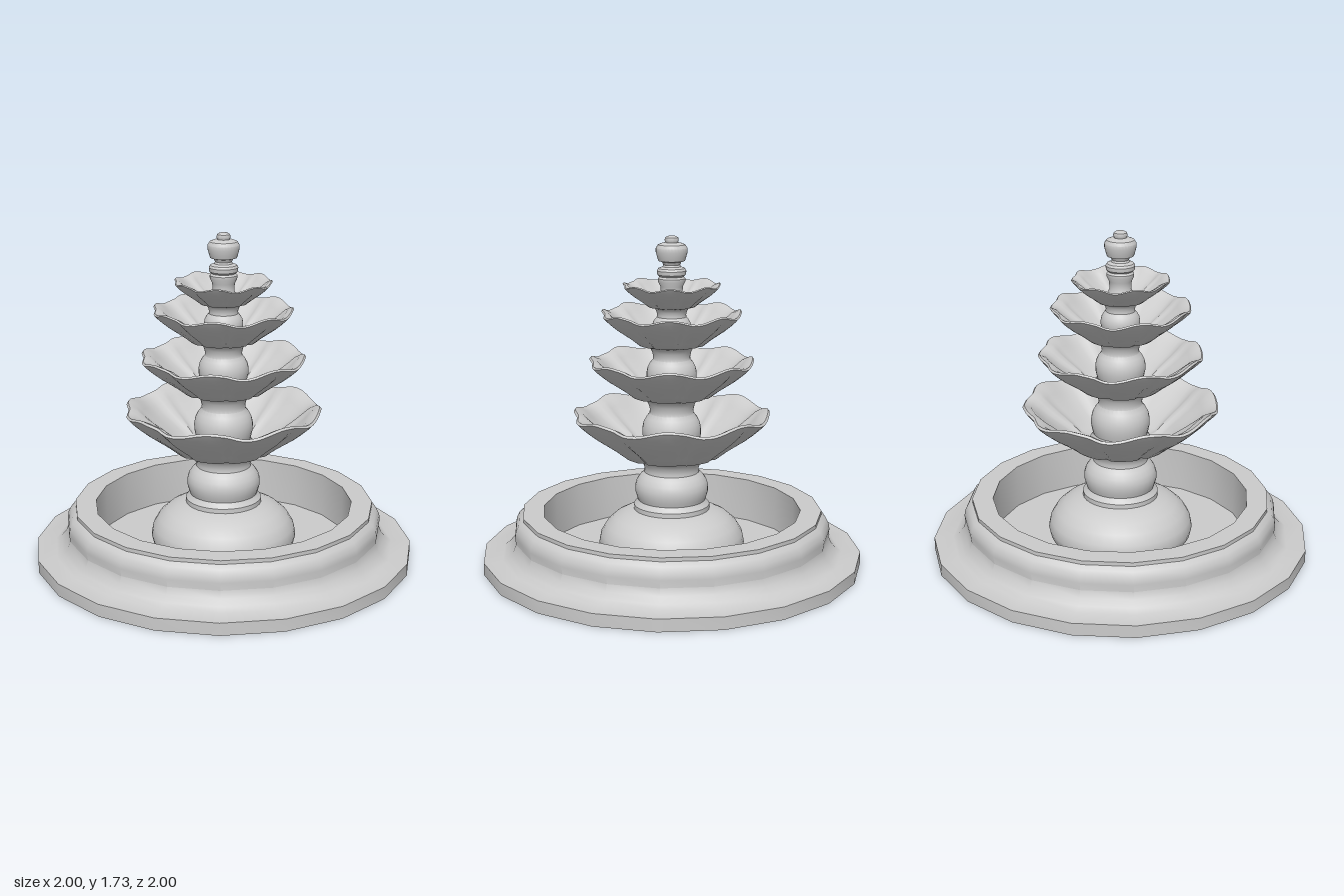
import * as THREE from 'three';
import { toCreasedNormals } from 'three/addons/utils/BufferGeometryUtils.js';

const stone = new THREE.MeshStandardMaterial({ color: 0xcccccc });

function lathe(profile, segments) {
  return new THREE.LatheGeometry(profile.map(([r, y]) => new THREE.Vector2(r, y)), segments);
}

function addMesh(group, name, geometry, crease = 0.6) {
  const mesh = new THREE.Mesh(toCreasedNormals(geometry, crease), stone);
  mesh.name = name;
  group.add(mesh);
}

// Turned column: foot ring, round belly, narrow neck, flared top
// (radius and height as fractions of the foot radius and total height)
const columnProfile = [
  [0, 0], [1, 0], [1, 0.09], [0.93, 0.14], [0.89, 0.18], [0.92, 0.24], [0.96, 0.34],
  [0.96, 0.44], [0.92, 0.54], [0.83, 0.63], [0.72, 0.7], [0.71, 0.76], [0.75, 0.85],
  [0.82, 0.92], [0.9, 0.96], [0.9, 1], [0, 1],
];

function column(radius, bottom, top) {
  return lathe(columnProfile.map(([r, y]) => [r * radius, bottom + y * (top - bottom)]), 32);
}

// Petalled bowl: lathed shell with eight narrow grooves and a wavy rim
function bowl(footRadius, rimRadius, bottom, rim) {
  const outer = [[0, 0], [0.2, 0.06], [0.37, 0.25], [0.52, 0.4], [0.68, 0.56], [0.83, 0.74], [0.93, 0.88], [1, 1]];
  const height = rim - bottom;
  const span = rimRadius - footRadius;
  const wall = 0.07 * rimRadius;
  const profile = [[0, bottom], [footRadius * 0.9, bottom]];
  outer.forEach(([r, y]) => profile.push([footRadius + r * span, bottom + y * height]));
  profile.push([rimRadius - wall * 0.25, rim + wall * 0.3]);
  outer.slice(0, -1).reverse().forEach(([r, y]) =>
    profile.push([footRadius + r * span - wall * 0.7, bottom + y * height + wall * 0.6]));
  profile.push([0, bottom + wall * 0.6]);

  const geometry = lathe(profile, 96);
  const pos = geometry.attributes.position;
  for (let i = 0; i < pos.count; i++) {
    const x = pos.getX(i), y = pos.getY(i), z = pos.getZ(i);
    const angle = Math.atan2(x, z);
    const t = THREE.MathUtils.clamp((y - bottom) / height, 0, 1);
    const fromGroove = Math.abs(Math.cos(4 * angle)); // zero along each groove
    const groove = 1 - THREE.MathUtils.smoothstep(fromGroove, 0.08, 0.45);
    const scale = 1 - groove * (0.09 - 0.06 * t * t);
    pos.setXYZ(i, x * scale, y + 0.07 * height * t * t * Math.sin(8 * angle), z * scale);
  }
  return geometry;
}

export function createModel() {
  const fountain = new THREE.Group();
  fountain.name = 'tieredFountain';

  // Twenty-sided pool with stepped foot, moulded wall and flat rim
  addMesh(fountain, 'poolBasin', lathe([
    [0, 0], [1, 0], [1, 0.065], [0.9, 0.065], [0.87, 0.085], [0.845, 0.115], [0.83, 0.15],
    [0.835, 0.19], [0.83, 0.22], [0.815, 0.25], [0.79, 0.268], [0.79, 0.288],
    [0.68, 0.288], [0.68, 0.05], [0, 0.05],
  ], 20));

  // Rounded mound in the pool
  addMesh(fountain, 'centreMound', lathe([
    [0, 0.04], [0.35, 0.04], [0.375, 0.07], [0.385, 0.11], [0.375, 0.16], [0.345, 0.21],
    [0.3, 0.25], [0.25, 0.275], [0.19, 0.295], [0, 0.3],
  ], 40));

  // Tiers: column radius, column bottom, bowl bottom, bowl foot radius, bowl rim radius, rim height
  const tiers = [
    [0.2, 0.29, 0.58, 0.19, 0.51, 0.8],
    [0.16, 0.59, 0.9, 0.155, 0.425, 1.08],
    [0.135, 0.91, 1.17, 0.125, 0.36, 1.33],
    [0.105, 1.18, 1.37, 0.09, 0.25, 1.475],
  ];
  tiers.forEach(([radius, low, high, foot, rimRadius, rim]) => {
    const tier = new THREE.Group();
    tier.name = 'tier';
    addMesh(tier, 'column', column(radius, low, high));
    addMesh(tier, 'petalBowl', bowl(foot, rimRadius, high - 0.01, rim), 0.7);
    fountain.add(tier);
  });

  // Finial with collar, bell-shaped head and knob
  addMesh(fountain, 'finial', lathe([
    [0, 1.37], [0.085, 1.37], [0.07, 1.4], [0.055, 1.43], [0.058, 1.47], [0.07, 1.495],
    [0.07, 1.51], [0.062, 1.52], [0.073, 1.53], [0.075, 1.55], [0.068, 1.562], [0.047, 1.57],
    [0.043, 1.58], [0.05, 1.595], [0.068, 1.6], [0.073, 1.615], [0.081, 1.645], [0.081, 1.665],
    [0.07, 1.682], [0.05, 1.69], [0.032, 1.693], [0.036, 1.705], [0.033, 1.718], [0.022, 1.725], [0, 1.726],
  ], 32));

  return fountain;
}
